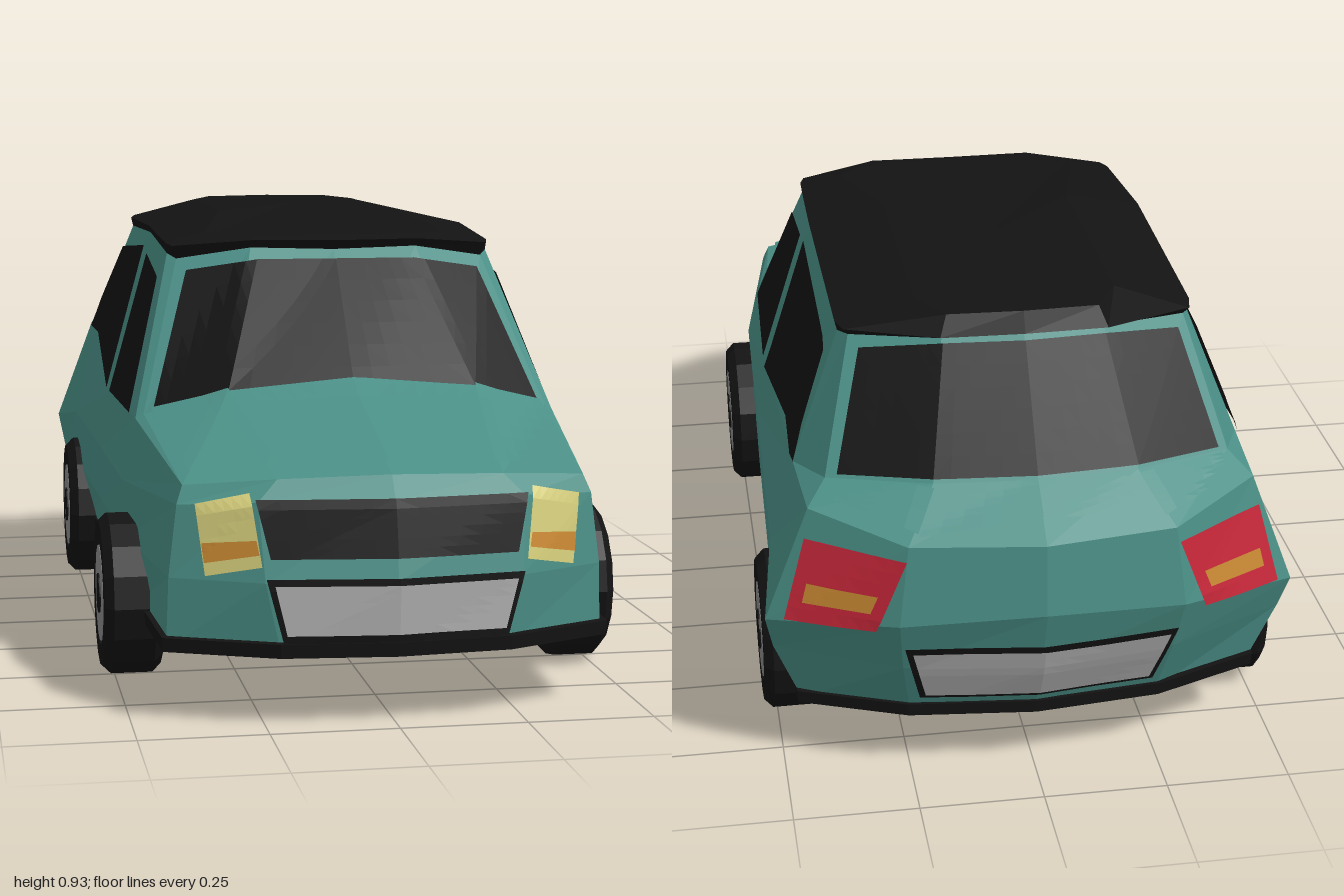
import * as THREE from 'three';

const TEAL = 0x4b9087, BLACK = 0x131313, GREY = 0xb3b3b3;
const CREAM = 0xd6cf7c, ORANGE = 0xcb8a33, RED = 0xc8283a;

const mat = (color) => new THREE.MeshStandardMaterial({ color, flatShading: true, side: THREE.DoubleSide });

// Geometry from a flat list of Vector3 triangles
function fromTriangles(list) {
  const g = new THREE.BufferGeometry().setFromPoints(list);
  g.computeVertexNormals();
  return g;
}

// Half outlines [x, y, z] run from front centre to rear centre; mirror to a full ring
function ring(half) {
  const other = half.slice(1, -1).reverse().map(([x, y, z]) => [-x, y, z]);
  return [...half, ...other].map((p) => new THREE.Vector3(...p));
}

// Skin a stack of rings, skipping collapsed triangles
function skin(levels) {
  const out = [];
  const area = new THREE.Triangle();
  const tri = (a, b, c) => {
    if (area.set(a, b, c).getArea() > 1e-6) out.push(a, b, c);
  };
  for (let l = 0; l < levels.length - 1; l++) {
    const lo = levels[l], hi = levels[l + 1], n = lo.length;
    for (let i = 0; i < n; i++) {
      const j = (i + 1) % n;
      tri(lo[i], lo[j], hi[j]);
      tri(lo[i], hi[j], hi[i]);
    }
  }
  return fromTriangles(out);
}

const centre = (y, z) => Array.from({ length: 16 }, () => new THREE.Vector3(0, y, z));

// Body outlines from sill to roof rail
const SILL = [[0, .14, .97], [.22, .14, .95], [.43, .14, .86], [.45, .14, .45], [.455, .14, 0],
  [.465, .14, -.58], [.46, .14, -.78], [.25, .14, -.86], [0, .14, -.885]];
const LOWER = [[0, .28, .982], [.25, .28, .95], [.425, .28, .865], [.47, .28, .45], [.485, .28, 0],
  [.5, .28, -.58], [.515, .28, -.8], [.27, .28, -.92], [0, .28, -.955]];
const WAIST = [[0, .43, .945], [.26, .43, .92], [.408, .42, .86], [.475, .4, .45], [.485, .4, 0],
  [.5, .4, -.58], [.53, .36, -.83], [.28, .4, -.965], [0, .42, -1]];
const BELT = [[0, .475, .91], [.22, .47, .9], [.395, .455, .845], [.445, .525, .43], [.46, .525, 0],
  [.452, .605, -.64], [.44, .6, -.83], [.26, .565, -.95], [0, .565, -.985]];
const CABIN = [[0, .58, .52], [.26, .575, .505], [.428, .535, .435], BELT[3], BELT[4],
  BELT[5], [.4, .635, -.775], [.2, .65, -.86], [0, .65, -.875]];
const RAIL = [[0, .86, .275], [.18, .865, .27], [.335, .84, .225], [.352, .85, .2], [.358, .877, -.09],
  [.352, .862, -.59], [.335, .87, -.63], [.16, .885, -.7], [0, .885, -.71]];
// Roof cap outlines
const EAVE = [[0, .88, .295], [.18, .882, .292], [.345, .868, .24], [.355, .872, .2], [.362, .892, -.09],
  [.357, .882, -.59], [.345, .885, -.64], [.165, .89, -.72], [0, .89, -.725]];
const CROWN = [[0, .89, .26], [.17, .89, .255], [.26, .89, .2], [.26, .895, .15], [.2, .925, -.1],
  [.2, .925, -.52], [.2, .925, -.6], [.15, .928, -.695], [0, .93, -.705]];

// Ray origins for panels laid on the body, u and v being the two visible axes
const VIEWS = {
  front: { from: (u, v) => [u, v, 4], dir: [0, 0, -1] },
  back: { from: (u, v) => [u, v, -4], dir: [0, 0, 1] },
  top: { from: (u, v) => [u, 4, v], dir: [0, -1, 0] },
  left: { from: (u, v) => [4, v, u], dir: [-1, 0, 0] },
  right: { from: (u, v) => [-4, v, u], dir: [1, 0, 0] },
};

// Drape four-cornered patches over the body, raised by lift
function drape(body, view, patches, lift, n = 6) {
  const { from, dir } = VIEWS[view];
  const d = new THREE.Vector3(...dir), ray = new THREE.Raycaster(), out = [];
  for (const [a, b, c, e] of patches) {
    const at = (i, j) => {
      const s = i / n, t = j / n;
      const mix = (k) => (a[k] * (1 - s) + b[k] * s) * (1 - t) + (e[k] * (1 - s) + c[k] * s) * t;
      ray.set(new THREE.Vector3(...from(mix(0), mix(1))), d);
      const hit = ray.intersectObject(body)[0];
      return hit ? hit.point.addScaledVector(d, -lift) : null;
    };
    for (let i = 0; i < n; i++) for (let j = 0; j < n; j++) {
      const q = [at(i, j), at(i + 1, j), at(i + 1, j + 1), at(i, j + 1)];
      if (q.every(Boolean)) out.push(q[0], q[1], q[2], q[0], q[2], q[3]);
    }
  }
  return fromTriangles(out);
}

const flip = (patches) => patches.map((p) => p.map(([u, v]) => [-u, v]));
const bar = (top, yTop, low, yLow) => [[-low, yLow], [0, yLow], [0, yTop], [-top, yTop]];
const span = (...a) => [bar(...a), ...flip([bar(...a)])];

function makeWheel(side) {
  const wheel = new THREE.Group();
  const profile = [[0, -.06], [.15, -.06], [.168, -.042], [.168, .042], [.15, .06], [.108, .06], [.104, .05], [0, .05]];
  const tyre = new THREE.Mesh(new THREE.LatheGeometry(profile.map((p) => new THREE.Vector2(...p)), 16), mat(BLACK));
  tyre.name = 'tyre';
  const rim = new THREE.Mesh(new THREE.CylinderGeometry(.1, .105, .012, 16), mat(0x8c8c8c));
  rim.name = 'rim';
  rim.position.y = .054;
  const hub = new THREE.Mesh(new THREE.CylinderGeometry(.042, .042, .01, 12), mat(BLACK));
  hub.name = 'hub';
  hub.position.y = .058;
  wheel.add(tyre, rim, hub);
  wheel.rotation.z = -side * Math.PI / 2;
  return wheel;
}

export function createModel() {
  const car = new THREE.Group();
  car.name = 'car';
  const add = (name, geometry, color) => {
    const mesh = new THREE.Mesh(geometry, mat(color));
    mesh.name = name;
    car.add(mesh);
    return mesh;
  };

  // Shell and roof
  const body = add('body', skin([centre(.14, 0), ...[SILL, LOWER, WAIST, BELT, CABIN, RAIL].map(ring), centre(.87, -.2)]), TEAL);
  body.material.side = THREE.FrontSide;
  add('roof', skin([...[RAIL, EAVE, CROWN].map(ring), centre(.93, -.3)]), BLACK);

  // Dark trim around the sill
  const trim = (y, grow) => ring(SILL.map(([x, , z]) => [x * grow, y, z * grow]));
  add('sillTrim', skin([trim(.138, 1), trim(.138, 1.018), trim(.166, 1.022), trim(.166, .99)]), BLACK);

  const panel = (name, color, view, patches, lift) => add(name, drape(body, view, patches, lift), color);

  // Windscreen and rear window: a middle patch and two mirrored wings
  const wing = [[[.26, .588], [.408, .55], [.318, .818], [.17, .842]]];
  panel('windscreen', BLACK, 'front', [...span(.17, .842, .26, .588), ...wing, ...flip(wing)], .012);
  const rearWing = [[[.2, .662], [.378, .648], [.318, .855], [.16, .878]]];
  panel('rearWindow', BLACK, 'back', [...span(.16, .878, .2, .662), ...rearWing, ...flip(rearWing)], .014);

  // Side windows
  for (const side of ['left', 'right']) {
    panel(side + 'FrontWindow', BLACK, side, [[[.375, .53], [.02, .53], [-.018, .835], [.21, .8]]], .008);
    panel(side + 'RearWindow', BLACK, side, [
      [[-.035, .53], [-.45, .612], [-.45, .822], [-.085, .848]],
      [[-.45, .612], [-.655, .612], [-.57, .812], [-.45, .822]]], .008);
  }

  // Bonnet and boot lid
  const bonnetWing = [[[.26, .5], [.415, .45], [.378, .82], [.21, .875]]];
  panel('bonnet', TEAL, 'top', [...span(.21, .878, .26, .505), ...bonnetWing, ...flip(bonnetWing)], .014);
  const bootWing = [[[.2, -.875], [.385, -.795], [.39, -.84], [.24, -.94]]];
  panel('bootLid', TEAL, 'top', [...span(.24, -.945, .2, -.88), ...bootWing, ...flip(bootWing)], .012);

  // Grille and bumper plates
  panel('grille', BLACK, 'front', span(.265, .435, .24, .325), .008);
  panel('frontBumperFrame', BLACK, 'front', span(.25, .29, .215, .155), .016);
  panel('frontBumperPlate', GREY, 'front', span(.235, .278, .212, .182), .022);
  panel('rearBumperFrame', BLACK, 'back', span(.27, .345, .235, .195), .014);
  panel('rearBumperPlate', GREY, 'back', span(.255, .333, .225, .207), .02);

  // Lamps
  const lamps = [
    ['Headlight', CREAM, 'front', [[.257, .312], [.36, .29], [.376, .425], [.275, .447]], .014],
    ['Indicator', ORANGE, 'front', [[.262, .335], [.362, .315], [.366, .352], [.267, .362]], .019],
    ['TailLight', RED, 'back', [[.325, .385], [.495, .375], [.45, .545], [.265, .54]], .012],
    ['RearIndicator', ORANGE, 'back', [[.335, .425], [.46, .42], [.45, .46], [.32, .462]], .018],
  ];
  for (const [name, color, view, patch, lift] of lamps) {
    panel('left' + name, color, view, [patch], lift);
    panel('right' + name, color, view, flip([patch]), lift);
  }

  // Wheels
  for (const side of [1, -1]) for (const [name, z] of [['Front', .48], ['Rear', -.555]]) {
    const wheel = makeWheel(side);
    wheel.name = (side > 0 ? 'left' : 'right') + name + 'Wheel';
    wheel.position.set(side * .468, .17, z);
    car.add(wheel);
  }
  return car;
}
